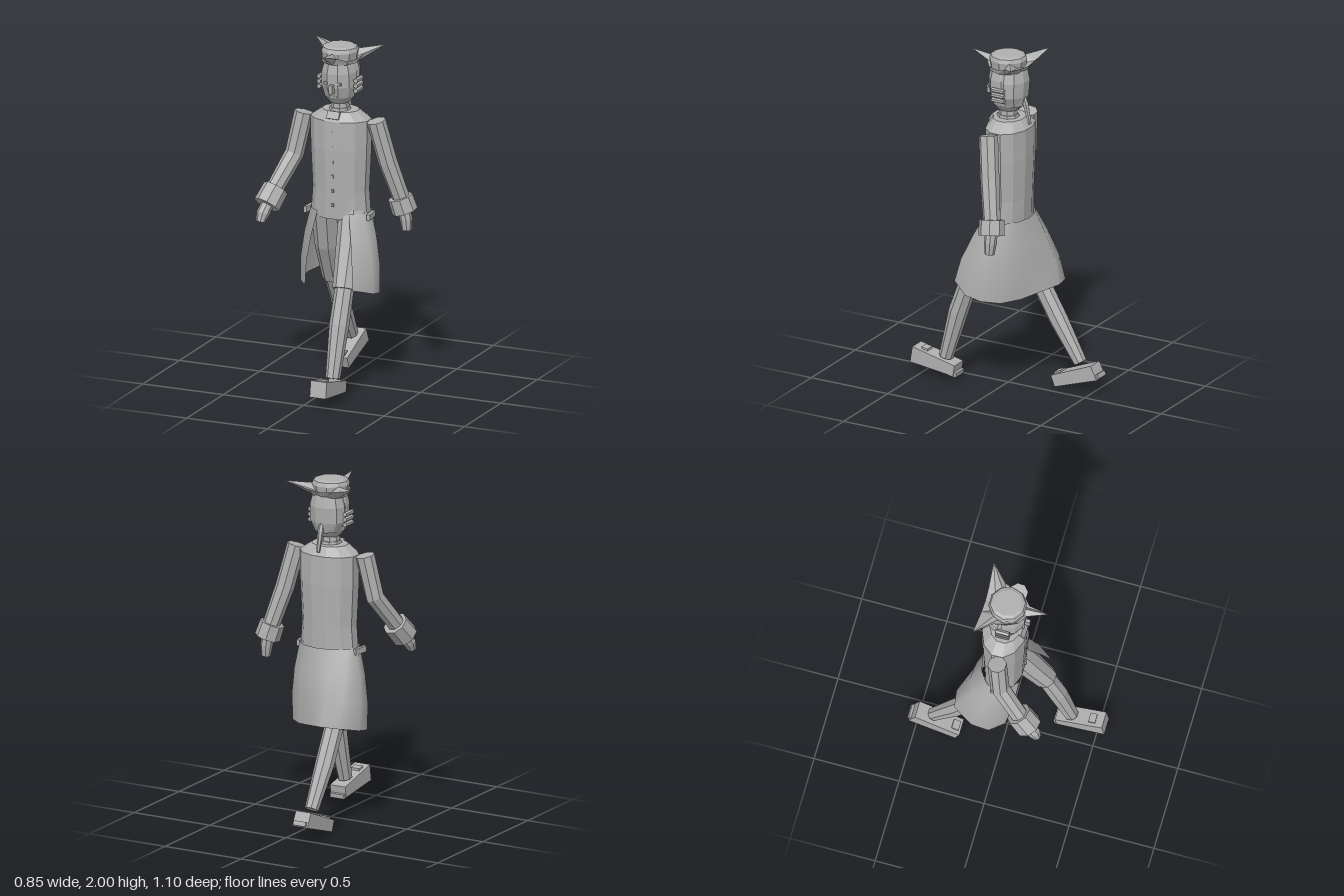
import * as THREE from 'three';

const V = (x, y, z) => new THREE.Vector3(x, y, z);

// Skin a list of equal-length rings (counter-clockwise about the travel direction).
function loft(rings, { open = false, caps = true, smooth = false } = {}) {
  const n = rings[0].length, pos = [], idx = [];
  rings.forEach(r => r.forEach(p => pos.push(p.x, p.y, p.z)));
  for (let j = 0; j < rings.length - 1; j++) {
    for (let i = 0; i < (open ? n - 1 : n); i++) {
      const a = j * n + i, b = j * n + (i + 1) % n;
      idx.push(a, b, b + n, a, b + n, a + n);
    }
  }
  if (caps && !open) {
    [0, rings.length - 1].forEach((j, end) => {
      const c = V(0, 0, 0);
      rings[j].forEach(p => c.addScaledVector(p, 1 / n));
      const k = pos.length / 3;
      pos.push(c.x, c.y, c.z);
      for (let i = 0; i < n; i++) {
        const a = j * n + i, b = j * n + (i + 1) % n;
        if (end) idx.push(k, a, b); else idx.push(k, b, a);
      }
    });
  }
  let g = new THREE.BufferGeometry();
  g.setAttribute('position', new THREE.Float32BufferAttribute(pos, 3));
  g.setIndex(idx);
  if (!smooth) g = g.toNonIndexed();
  g.computeVertexNormals();
  return g;
}

// Horizontal elliptical sections: [y, rx, rz, zCentre]
const stack = (rows, sides) => loft(rows.map(([y, rx, rz, z = 0]) =>
  Array.from({ length: sides }, (_, i) => {
    const a = (i + 0.5) / sides * Math.PI * 2;
    return V(rx * Math.sin(a), y, z + rz * Math.cos(a));
  })));

// Faceted limb along a path: [x, y, z, radius]
function limb(path, sides = 8) {
  const c = path.map(p => V(p[0], p[1], p[2]));
  return loft(path.map((p, k) => {
    const t = c[Math.min(k + 1, c.length - 1)].clone().sub(c[Math.max(k - 1, 0)]).normalize();
    const u = V(1, 0, 0).addScaledVector(t, -t.x).normalize();
    const v = t.clone().cross(u);
    return Array.from({ length: sides }, (_, i) => {
      const a = (i + 0.5) / sides * Math.PI * 2;
      return c[k].clone().addScaledVector(u, p[3] * Math.cos(a)).addScaledVector(v, p[3] * Math.sin(a));
    });
  }));
}

// Prism across x from a side outline of [z, y] points
function sidePrism(pts, x, width) {
  const s = new THREE.Shape(pts.map(p => new THREE.Vector2(p[0], p[1])));
  return new THREE.ExtrudeGeometry(s, { depth: width, bevelEnabled: false })
    .rotateY(-Math.PI / 2).translate(x + width / 2, 0, 0);
}

export function createModel() {
  const group = new THREE.Group();
  const grey = new THREE.MeshStandardMaterial({ color: 0xb0b0b0 });
  grey.name = 'plain grey';
  const cloth = new THREE.MeshStandardMaterial({ color: 0xb0b0b0, side: THREE.DoubleSide });
  cloth.name = 'plain grey cloth';
  const add = (name, geo, mat = grey) => {
    const m = new THREE.Mesh(geo, mat);
    m.name = name;
    group.add(m);
    return m;
  };
  const box = (name, w, h, d, x, y, z, rx = 0, ry = 0) => {
    const m = add(name, new THREE.BoxGeometry(w, h, d));
    m.position.set(x, y, z);
    m.rotation.set(rx, ry, 0);
    return m;
  };

  // Coat body, collar and neck
  add('coatBody', stack([
    [0.99, 0.18, 0.115, -0.015], [1.15, 0.168, 0.12, -0.015], [1.4, 0.18, 0.13, -0.015],
    [1.57, 0.182, 0.128, -0.015], [1.62, 0.11, 0.09, -0.01]], 12));
  add('neck', stack([[1.6, 0.055, 0.055], [1.69, 0.048, 0.05]], 8));
  add('collar', stack([[1.605, 0.065, 0.07], [1.635, 0.058, 0.062]], 8));
  box('cravat', 0.075, 0.045, 0.03, 0, 1.6, 0.085, -0.5);
  for (let i = 0; i < 6; i++) box('button', 0.014, 0.018, 0.012, 0, 1.075 + i * 0.085, 0.105);

  // Open coat skirt, swung by the stride
  const hem = [[0.185, 0.63, 0.245], [0.265, 0.59, 0.13], [0.262, 0.57, 0.03], [0.21, 0.56, -0.07],
    [0.12, 0.57, -0.15], [0, 0.59, -0.215], [-0.1, 0.61, -0.275], [-0.2, 0.61, -0.26],
    [-0.265, 0.58, -0.14], [-0.265, 0.56, -0.04], [-0.2, 0.56, 0.04]];
  const skirtRow = t => hem.map(([x, y, z], i) => {
    const a = THREE.MathUtils.lerp(0.55, Math.PI * 2 - 0.55, i / (hem.length - 1));
    const bulge = 1 + 0.1 * Math.sin(t * Math.PI);
    return V(x, y, z).lerp(V(0.185 * Math.sin(a), 1.03, -0.015 + 0.13 * Math.cos(a)), t)
      .multiply(V(bulge, 1, bulge));
  });
  add('coatSkirt', loft([0, 0.33, 0.67, 1].map(skirtRow), { open: true, smooth: true }), cloth);
  for (const s of [-1, 1]) box('pocketFlap', 0.02, 0.035, 0.1, s * 0.192, 1.01, 0, 0, s * 0.1);

  // Arms with cuffs and hands
  const arms = {
    right: { arm: [[-0.225, 1.575, 0, 0.055], [-0.27, 1.33, 0.03, 0.055], [-0.34, 1.13, 0.175, 0.05]],
      cuff: [[-0.33, 1.15, 0.155, 0.075], [-0.355, 1.065, 0.225, 0.078]],
      hand: [[-0.35, 1.08, 0.21, 0.036], [-0.366, 1.02, 0.255, 0.038], [-0.372, 0.975, 0.275, 0.025]] },
    left: { arm: [[0.225, 1.575, 0, 0.055], [0.278, 1.33, -0.04, 0.055], [0.342, 1.1, -0.09, 0.05]],
      cuff: [[0.335, 1.115, -0.085, 0.072], [0.36, 1.03, -0.097, 0.075]],
      hand: [[0.355, 1.05, -0.095, 0.036], [0.367, 0.985, -0.095, 0.036], [0.373, 0.92, -0.093, 0.028]] },
  };
  for (const side in arms) for (const part in arms[side]) add(side + ' ' + part, limb(arms[side][part]));

  // Striding legs: breeches and stockings
  add('left breeches', limb([[0.085, 1.02, 0, 0.085], [0.1, 0.82, 0.09, 0.08], [0.113, 0.615, 0.192, 0.068]]));
  add('left stocking', limb([[0.113, 0.63, 0.185, 0.055], [0.112, 0.42, 0.26, 0.057], [0.11, 0.13, 0.342, 0.042]]));
  add('right breeches', limb([[-0.085, 1.02, 0, 0.085], [-0.1, 0.8, -0.06, 0.08], [-0.112, 0.575, -0.16, 0.068]]));
  add('right stocking', limb([[-0.112, 0.59, -0.152, 0.055], [-0.115, 0.39, -0.265, 0.055], [-0.113, 0.16, -0.405, 0.04]]));

  // Shoes, heels and buckles
  add('left shoe', sidePrism([[0.26, 0.1], [0.27, 0.035], [0.55, 0.07], [0.535, 0.165]], 0.11, 0.1));
  add('left heel', sidePrism([[0.25, 0.055], [0.255, 0.028], [0.3, 0.033], [0.3, 0.06]], 0.11, 0.09));
  add('left buckle', sidePrism([[0.45, 0.14], [0.49, 0.148], [0.49, 0.165], [0.45, 0.158]], 0.108, 0.055));
  add('right shoe', sidePrism([[-0.5, 0.17], [-0.54, 0.09], [-0.265, 0], [-0.24, 0.065]], -0.115, 0.1));
  add('right heel', sidePrism([[-0.54, 0.125], [-0.55, 0.1], [-0.5, 0.075], [-0.49, 0.1]], -0.115, 0.08));
  add('right buckle', sidePrism([[-0.295, 0.08], [-0.255, 0.068], [-0.25, 0.082], [-0.29, 0.096]], -0.115, 0.055));

  // Head and face
  add('head', stack([[1.665, 0.055, 0.06], [1.705, 0.088, 0.09], [1.77, 0.106, 0.11],
    [1.85, 0.104, 0.114], [1.92, 0.085, 0.1]], 10));
  box('nose', 0.022, 0.05, 0.04, 0, 1.765, 0.112);
  box('mouth', 0.04, 0.006, 0.01, 0, 1.715, 0.088);
  for (const s of [-1, 1]) box('eye', 0.022, 0.014, 0.012, s * 0.042, 1.795, 0.104);

  // Hair: back, side curls and tied queue
  add('hairBack', stack([[1.7, 0.075, 0.075, -0.03], [1.76, 0.107, 0.09, -0.03],
    [1.85, 0.108, 0.098, -0.03], [1.92, 0.09, 0.085, -0.03]], 10));
  for (const s of [-1, 1]) for (let i = 0; i < 3; i++) {
    const c = add('sideCurl', new THREE.CylinderGeometry(0.014, 0.014, 0.08, 6).toNonIndexed());
    c.geometry.computeVertexNormals();
    c.rotation.x = Math.PI / 2;
    c.position.set(s * 0.115, 1.748 + i * 0.03, 0);
  }
  add('queue', limb([[0, 1.76, -0.1, 0.014], [0, 1.71, -0.115, 0.018], [0, 1.595, -0.142, 0.01]], 6));

  // Hat crown and three-pointed brim: [angle, radius, height]
  add('hatCrown', stack([[1.905, 0.098, 0.1], [1.97, 0.108, 0.11], [1.992, 0.1, 0.1], [2, 0.08, 0.08]], 10));
  const half = [[0, 0.238, 1.985], [15, 0.125, 1.95], [45, 0.115, 1.93], [85, 0.11, 1.93],
    [111, 0.137, 1.95], [123.4, 0.264, 1.988], [150, 0.155, 1.955], [180, 0.132, 1.945]];
  const rim = [...half, ...half.slice(1, -1).reverse().map(([a, r, y]) => [360 - a, r, y])];
  const brimRing = f => rim.map(([a, r, y]) => {
    const t = THREE.MathUtils.degToRad(a), [R, Y] = f(r, y);
    return V(R * Math.sin(t), Y, R * Math.cos(t));
  });
  add('hatBrim', loft([brimRing(() => [0.09, 1.9]), brimRing(() => [0.105, 1.905]),
    brimRing((r, y) => [r, y]), brimRing((r, y) => [0.1, y - 0.015])], { caps: false }), cloth);

  return group;
}
